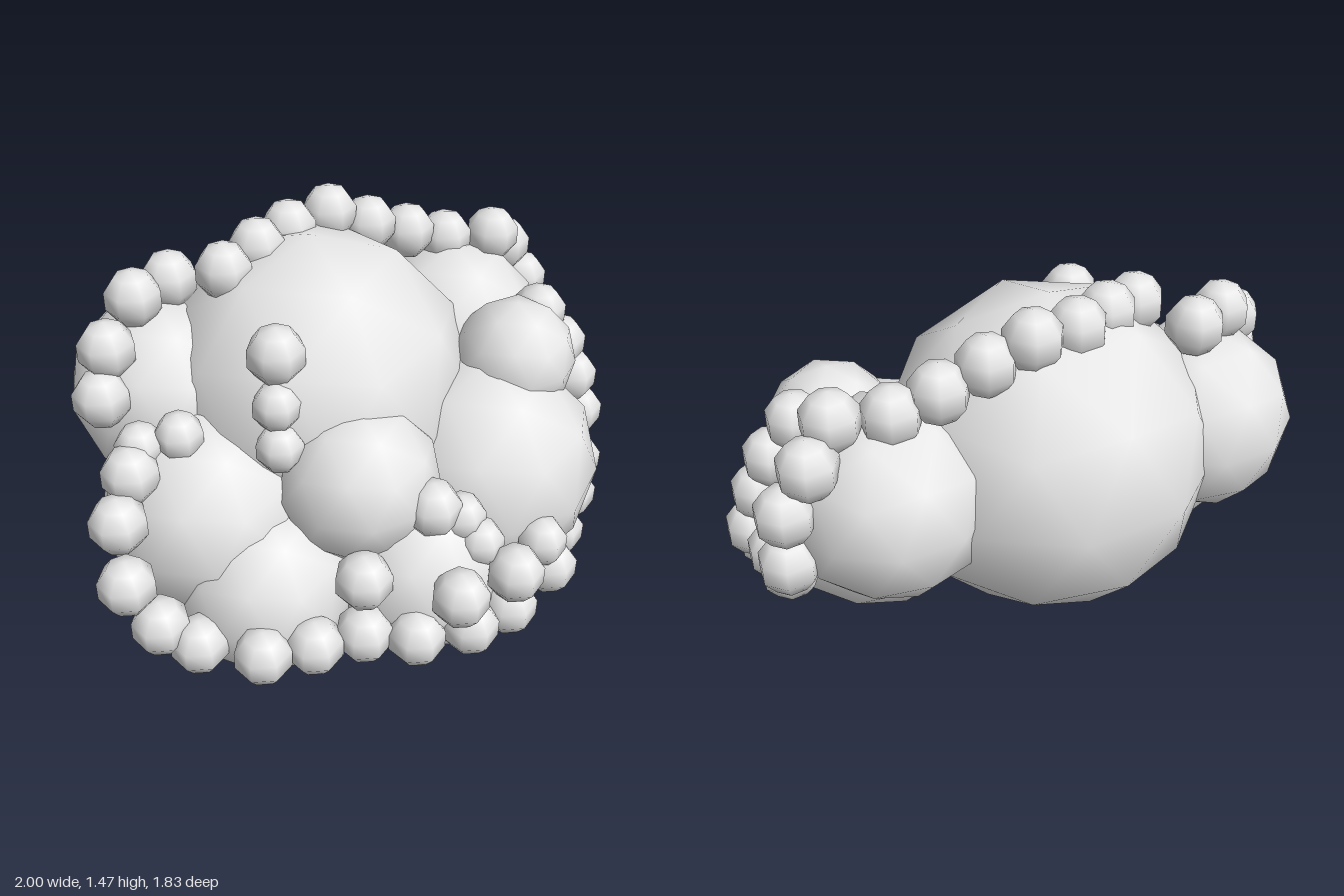
import * as THREE from 'three';

// Low-poly cloud: overlapping big puffs with strings of small beads
export function createModel() {
  const group = new THREE.Group();
  const cloudGrey = new THREE.MeshStandardMaterial({ color: 0xe7e7e7 });
  cloudGrey.name = 'cloudGrey';

  // Icosphere turned so that a corner points straight up
  const golden = (1 + Math.sqrt(5)) / 2;
  const puffGeometry = new THREE.IcosahedronGeometry(1, 1)
    .rotateZ(Math.atan(1 / golden))
    .rotateY(-Math.PI / 2);
  const beadGeometry = new THREE.SphereGeometry(1, 7, 5).rotateY(Math.PI);

  function ball(parent, name, geometry, [x, y, z], radius) {
    const mesh = new THREE.Mesh(geometry, cloudGrey);
    mesh.name = name;
    mesh.position.set(x, y, z);
    mesh.scale.setScalar(radius);
    parent.add(mesh);
  }

  // Big puffs: name, centre, radius
  const puffs = [
    ['mainPuff', [-0.13, 0.80, -0.14], 0.60],
    ['rightPuff', [0.525, 0.51, -0.10], 0.447],
    ['upperLeftPuff', [-0.65, 0.845, 0.05], 0.35],
    ['lowerLeftPuff', [-0.435, 0.525, 0.335], 0.395],
    ['middlePuff', [0.105, 0.69, 0.31], 0.298],
    ['frontBottomPuff', [-0.20, 0.33, 0.49], 0.33],
    ['rightBottomPuff', [0.33, 0.35, 0.33], 0.33],
    ['backPuff', [0.36, 0.835, -0.55], 0.355],
    ['smallUpperPuff', [0.62, 0.90, -0.24], 0.23],
  ];
  puffs.forEach(([name, centre, radius]) => ball(group, name, puffGeometry, centre, radius));

  function beadString(name, centres, radius = 0.106) {
    const string = new THREE.Group();
    string.name = name;
    centres.forEach((c, i) => ball(string, `${name}Bead${i + 1}`, beadGeometry, c, radius));
    group.add(string);
  }

  // Over the top and down the back puff
  beadString('crest', [
    [-0.41, 1.31, 0.00], [-0.32, 1.34, -0.14], [-0.23, 1.35, -0.28],
    [-0.10, 1.365, -0.40], [0.04, 1.30, -0.46], [0.18, 1.24, -0.54],
    [0.32, 1.19, -0.61], [0.50, 1.19, -0.66], [0.55, 1.09, -0.78],
    [0.63, 0.93, -0.81], [0.64, 0.73, -0.80], [0.68, 0.61, -0.69],
    [0.77, 0.57, -0.55],
  ]);
  // Round the outside of the right puff
  beadString('rightEdge', [
    [0.70, 1.01, -0.40], [0.79, 0.87, -0.42], [0.85, 0.72, -0.42],
    [0.89, 0.56, -0.42], [0.90, 0.41, -0.30], [0.89, 0.31, -0.20],
    [0.85, 0.23, -0.06], [0.75, 0.20, 0.09], [0.81, 0.31, 0.24],
  ]);
  beadString('rightEdgeEnd', [[0.77, 0.45, 0.27]], 0.095);
  // Along the front bottom and up the lower left puff
  beadString('frontEdge', [
    [0.67, 0.29, 0.45], [0.54, 0.29, 0.57], [0.36, 0.29, 0.65],
    [0.18, 0.30, 0.67], [0.02, 0.30, 0.75], [-0.145, 0.30, 0.82],
    [-0.37, 0.30, 0.80], [-0.50, 0.37, 0.80], [-0.605, 0.53, 0.79],
    [-0.645, 0.71, 0.69], [-0.63, 0.82, 0.56],
  ]);
  beadString('frontEdgeEnd', [[-0.62, 0.87, 0.47], [-0.49, 0.90, 0.43]], 0.09);
  // Over the upper left puff
  beadString('leftEdge', [
    [-0.62, 1.245, -0.03], [-0.71, 1.24, 0.11], [-0.765, 1.13, 0.28], [-0.775, 0.98, 0.36],
  ]);
  // Short string on the face of the main puff
  beadString('faceTop', [[-0.17, 1.18, 0.31]]);
  beadString('faceString', [[-0.16, 1.02, 0.38], [-0.145, 0.88, 0.42]], 0.088);
  // Curl over the right bottom puff
  beadString('curl', [
    [0.68, 0.465, 0.47], [0.50, 0.465, 0.62], [0.17, 0.50, 0.62], [0.38, 0.68, 0.42],
  ]);
  beadString('curlLink', [[0.48, 0.62, 0.38], [0.55, 0.54, 0.41]], 0.09);

  return group;
}
